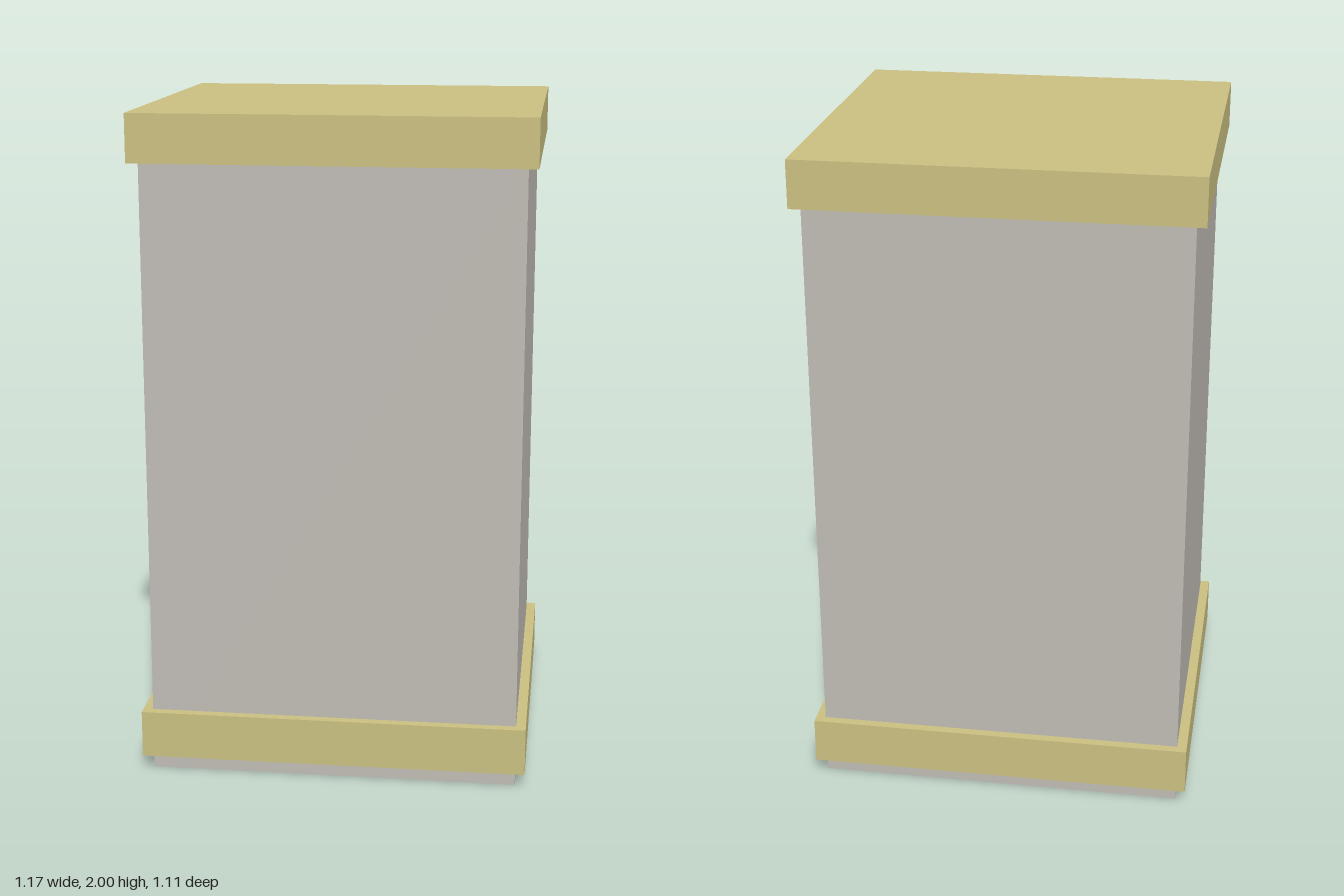
import * as THREE from 'three';

export function createModel() {
  const group = new THREE.Group();
  const stone = new THREE.MeshStandardMaterial({ color: 0xbfbbb4 });
  stone.name = 'warm grey';
  const trim = new THREE.MeshStandardMaterial({ color: 0xc9bf81 });
  trim.name = 'pale gold';

  // Box spanning bottom to top, centred on x and z
  function block(name, width, depth, bottom, top, material) {
    const mesh = new THREE.Mesh(new THREE.BoxGeometry(width, top - bottom, depth), material);
    mesh.name = name;
    mesh.position.y = (bottom + top) / 2;
    group.add(mesh);
  }

  // Main shaft, running down through the base band to the ground
  block('shaft', 1.107, 1.054, 0, 1.9, stone);
  // Projecting bands at the foot and the top
  block('baseBand', 1.166, 1.11, 0.047, 0.19, trim);
  block('topCap', 1.166, 1.11, 1.858, 2, trim);

  return group;
}
